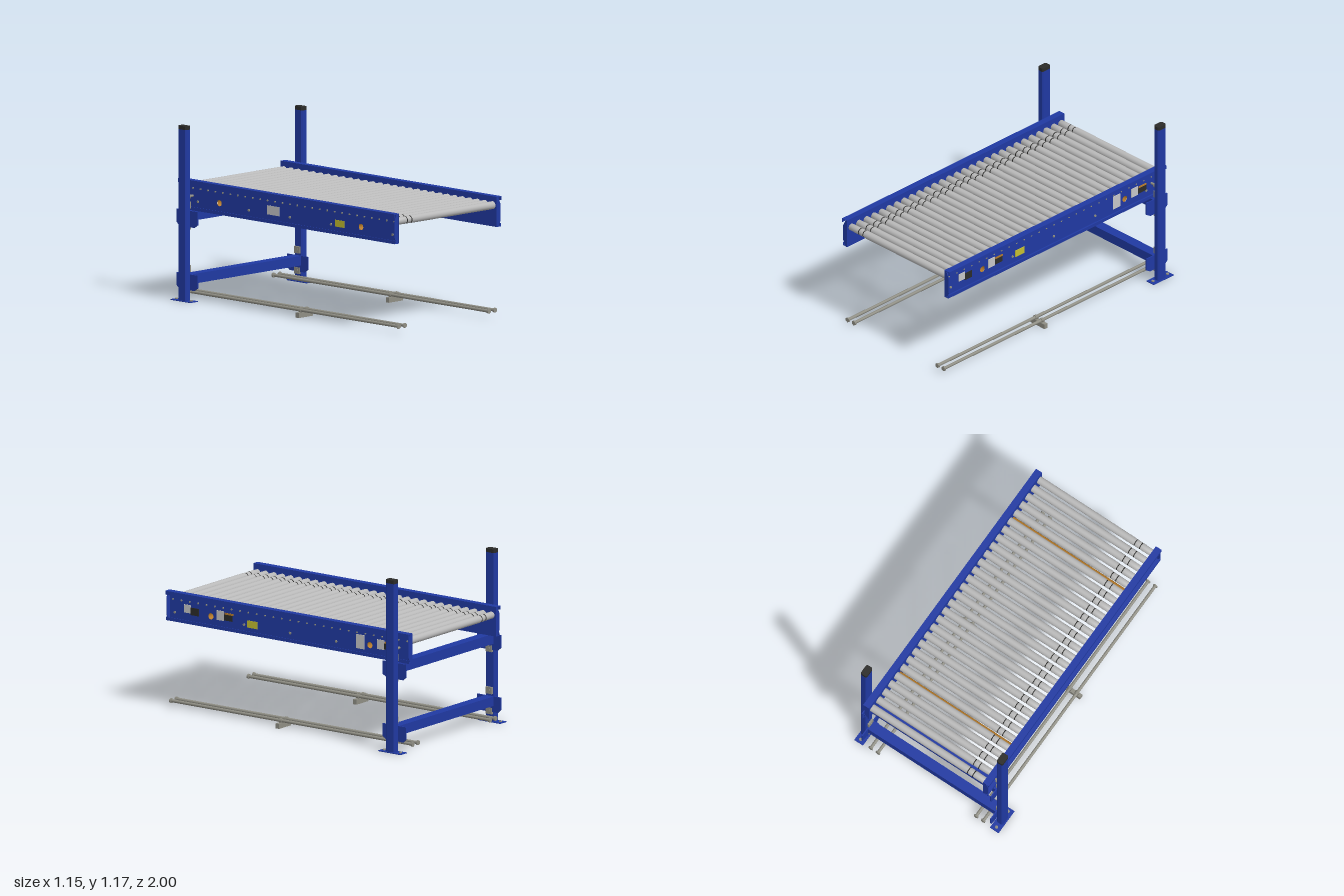
import * as THREE from 'three';

export function createModel() {
  const root = new THREE.Group();
  const mat = (name, color, opts = {}) => {
    const m = new THREE.MeshStandardMaterial({ color, ...opts });
    m.name = name;
    return m;
  };
  const blue = mat('blue paint', 0x2039a2);
  const steel = mat('roller steel', 0xb9b9b9);
  const zinc = mat('zinc grey', 0x8f8e84);
  const orange = mat('orange tube', 0xb87c2a, { side: THREE.DoubleSide });
  const black = mat('black plastic', 0x2b2b29);
  const pale = mat('pale label', 0xc6c6c8);
  const yellow = mat('yellow label', 0xc4be30);

  const add = (name, geo, material, x = 0, y = 0, z = 0, parent = root) => {
    const m = new THREE.Mesh(geo, material);
    m.name = name;
    m.position.set(x, y, z);
    parent.add(m);
    return m;
  };
  // box given by its minimum and maximum corners
  const box = (name, material, x0, x1, y0, y1, z0, z1) =>
    add(name, new THREE.BoxGeometry(Math.abs(x1 - x0), y1 - y0, z1 - z0), material,
      (x0 + x1) / 2, (y0 + y1) / 2, (z0 + z1) / 2);
  const rodX = (r, len, sides = 16, open = false) =>
    new THREE.CylinderGeometry(r, r, len, sides, 1, open).rotateZ(Math.PI / 2);
  const rodZ = (r, len, sides = 16) =>
    new THREE.CylinderGeometry(r, r, len, sides).rotateX(Math.PI / 2);
  // plate in the z-y plane, centred on x
  const sidePlate = (points, holes, depth) => {
    const shape = new THREE.Shape(points.map(([z, y]) => new THREE.Vector2(-z, y)));
    for (const [z, y, r] of holes) {
      shape.holes.push(new THREE.Path().absarc(-z, y, r, 0, Math.PI * 2, true));
    }
    return new THREE.ExtrudeGeometry(shape, { depth, bevelEnabled: false, curveSegments: 10 })
      .translate(0, 0, -depth / 2).rotateY(Math.PI / 2);
  };

  const postZ = -0.9, tubeZ = [-0.655, 0.655];
  const rollerCount = 29, pitch = 0.0689, rollerY = 0.742;
  const rollerZ = (i) => (i - (rollerCount - 1) / 2) * pitch;

  // Rollers with a slimmer grooved drive end
  const profile = [[0, -0.452], [0.023, -0.452], [0.0245, -0.37], [0.021, -0.362], [0.0245, -0.354],
    [0.0245, -0.328], [0.021, -0.32], [0.026, -0.31], [0.026, 0.452], [0, 0.452]]
    .map(([r, t]) => new THREE.Vector2(r, t));
  const rollerGeo = new THREE.LatheGeometry(profile, 20).rotateZ(-Math.PI / 2);
  const grooveGeo = rodX(0.0235, 0.006, 16);
  const axleGeo = rodX(0.006, 0.006, 6);
  for (let i = 0; i < rollerCount; i++) {
    add('roller', rollerGeo, steel, 0, rollerY, rollerZ(i));
    for (const x of [-0.362, -0.32]) add('driveGroove', grooveGeo, black, x, rollerY, rollerZ(i));
    for (const s of [-1, 1]) add('axleEnd', axleGeo, zinc, s * 0.463, rollerY, rollerZ(i));
  }

  // Hollow cross tubes under the rollers
  for (const z of tubeZ) add('crossTube', rodX(0.025, 0.91, 20, true), orange, 0, 0.67, z);

  // Channel side rails with return lips and tapered end plates
  const webGeo = sidePlate([[-1, 0.6], [1, 0.6], [1, 0.8], [-1, 0.8]],
    tubeZ.map((z) => [z, 0.67, 0.021]), 0.006);
  const endShape = (s) => new THREE.Shape([[0.454, 0.605], [0.476, 0.605], [0.492, 0.64], [0.492, 0.75],
    [0.47, 0.797], [0.454, 0.797]].map(([x, y]) => new THREE.Vector2(s * x, y)));
  for (const s of [-1, 1]) {
    add('railWeb', webGeo, blue, s * 0.457, 0, 0);
    box('railTopFlange', blue, s * 0.454, s * 0.5, 0.795, 0.8, -1, 1);
    box('railTopLip', blue, s * 0.495, s * 0.5, 0.774, 0.8, -1, 1);
    box('railBottomFlange', blue, s * 0.454, s * 0.492, 0.6, 0.605, -1, 1);
    box('railBottomLip', blue, s * 0.487, s * 0.492, 0.6, 0.622, -1, 1);
    for (const z of [-0.998, 0.993]) {
      add('railEndPlate', new THREE.ExtrudeGeometry(endShape(s), { depth: 0.005, bevelEnabled: false }),
        blue, 0, 0, z);
    }
    // scattered lower rail bolts
    for (const z of [-0.85, -0.38, 0, 0.38, 0.95]) {
      add('railBolt', rodX(0.009, 0.008, 6), zinc, s * 0.463, 0.655, z);
    }
    // bolt joining rail and post
    add('railPostBolt', rodX(0.008, 0.06, 10), zinc, s * 0.487, 0.69, postZ);
    add('railPostNut', rodX(0.018, 0.016, 6), zinc, s * 0.502, 0.69, postZ);
  }

  // Labels on the outer faces of the rails: side, colour, z range, y range
  const labels = [
    [1, pale, 0.82, 0.875, 0.665, 0.72], [1, black, 0.755, 0.82, 0.655, 0.705],
    [1, pale, 0.545, 0.605, 0.655, 0.72], [1, black, 0.475, 0.545, 0.66, 0.7],
    [1, orange, 0.47, 0.54, 0.7, 0.712], [1, yellow, 0.27, 0.355, 0.64, 0.688],
    [1, pale, -0.61, -0.545, 0.635, 0.73], [1, pale, -0.775, -0.715, 0.655, 0.72],
    [1, black, -0.85, -0.775, 0.66, 0.7], [1, orange, -0.85, -0.78, 0.7, 0.712],
    [-1, yellow, 0.42, 0.5, 0.645, 0.69], [-1, pale, -0.21, -0.1, 0.65, 0.71],
  ];
  for (const [s, m, z0, z1, y0, y1] of labels) box('railLabel', m, s * 0.46, s * 0.464, y0, y1, z0, z1);

  // Posts with caps, base plates and anchor bolts
  const w = 0.024, d = 0.037, c = 0.008;
  const postShape = new THREE.Shape([[-w + c, -d], [w - c, -d], [w, -d + c], [w, d - c],
    [w - c, d], [-w + c, d], [-w, d - c], [-w, -d + c]].map(([x, y]) => new THREE.Vector2(x, y)));
  const upright = (h) => new THREE.ExtrudeGeometry(postShape, { depth: h, bevelEnabled: false })
    .rotateX(-Math.PI / 2);
  const postGeo = upright(1.14), capGeo = upright(0.025);
  for (const s of [-1, 1]) {
    add('post', postGeo, blue, s * 0.541, 0.002, postZ);
    add('postCap', capGeo, black, s * 0.541, 1.141, postZ);
    box('basePlate', blue, s * 0.505, s * 0.574, 0, 0.005, -0.995, -0.81);
    for (const z of [-0.97, -0.835]) {
      add('anchorBolt', new THREE.CylinderGeometry(0.011, 0.011, 0.008, 6), zinc, s * 0.541, 0.008, z);
    }
  }

  // Cross beams with winged end brackets and clips
  for (const [y0, y1] of [[0.532, 0.599], [0.112, 0.176]]) {
    box('crossBeam', blue, -0.512, 0.512, y0, y1, -0.935, -0.865);
    const bracketGeo = sidePlate([[-0.995, y1], [-0.995, y0 - 0.02], [-0.97, y0 - 0.042],
      [-0.835, y0 - 0.042], [-0.8, y0 - 0.02], [-0.8, y1]], [], 0.008);
    for (const s of [-1, 1]) {
      add('beamBracket', bracketGeo, blue, s * 0.512, 0, 0);
      for (const [a, b] of [[y0 - 0.058, y0 - 0.015], [y1 + 0.014, y1 + 0.06]]) {
        box('beamClip', zinc, s * 0.504, s * 0.517, a, b, -0.925, -0.875);
        add('clipBolt', rodX(0.011, 0.012, 6), zinc, s * 0.506, (a + b) / 2, postZ);
      }
    }
  }

  // Floor guide rods in pairs, with end nuts and a centre support
  for (const [x0, xs] of [[-0.485, [-0.452, -0.395]], [0.352, [0.386, 0.443]]]) {
    for (const x of xs) {
      add('guideRod', rodZ(0.0105, 1.98), zinc, x, 0.048, 0);
      for (const z of [-0.994, 0.994]) add('rodEndNut', rodZ(0.017, 0.012, 6), zinc, x, 0.048, z);
      add('rodClamp', rodZ(0.016, 0.022, 6), zinc, x, 0.048, 0.09);
    }
    box('rodSupport', zinc, x0, x0 + 0.13, 0, 0.034, 0.076, 0.104);
  }

  return root;
}
